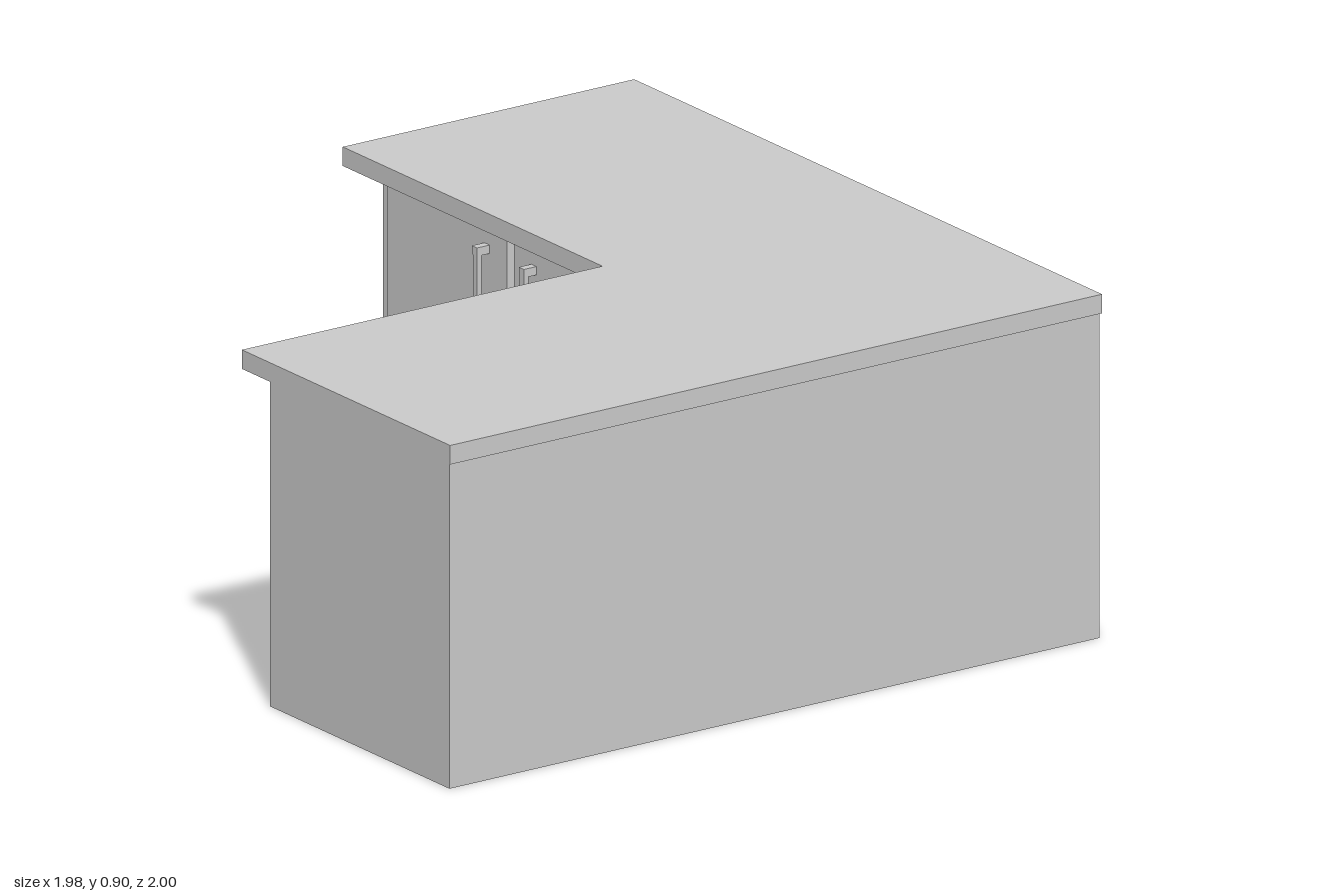
import * as THREE from 'three';

const material = new THREE.MeshStandardMaterial({ color: 0xcccccc, flatShading: true });

function box(parent, name, w, h, d, x, y, z) {
  const mesh = new THREE.Mesh(new THREE.BoxGeometry(w, h, d), material);
  mesh.name = name;
  mesh.position.set(x, y, z);
  parent.add(mesh);
  return mesh;
}

// L-shaped slab: full rectangle minus the corner at -x, -z
function lSlab(name, x0, x1, z0, z1, cutX, cutZ, y, height) {
  const outline = [[x0, z1], [x1, z1], [x1, z0], [cutX, z0], [cutX, cutZ], [x0, cutZ]];
  const shape = new THREE.Shape(outline.map(([x, z]) => new THREE.Vector2(x, -z)));
  const geometry = new THREE.ExtrudeGeometry(shape, { depth: height, bevelEnabled: false });
  geometry.rotateX(-Math.PI / 2);
  const mesh = new THREE.Mesh(geometry, material);
  mesh.name = name;
  mesh.position.y = y;
  return mesh;
}

// Vertical bar handle on two posts, facing -z
function handle(x) {
  const group = new THREE.Group();
  group.name = 'handle';
  box(group, 'handleBar', 0.018, 0.28, 0.014, 0, 0, -0.03);
  for (const s of [-1, 1]) box(group, 'handlePost', 0.022, 0.022, 0.038, 0, s * 0.129, -0.019);
  group.position.set(x, 0.63, -0.04);
  return group;
}

// Pair of doors, centred on x = 0, standing proud of the cabinet face towards -z
function doorPair(name) {
  const group = new THREE.Group();
  group.name = name;
  for (const s of [-1, 1]) {
    box(group, 'door', 0.51, 0.755, 0.04, s * 0.27, 0.4275, -0.02);
    group.add(handle(s * 0.1));
  }
  return group;
}

export function createModel() {
  const model = new THREE.Group();
  model.name = 'cornerCabinet';

  model.add(lSlab('cabinetBody', -0.99, 0.985, -1, 0.997, 0.228, 0.23, 0, 0.85));
  model.add(lSlab('countertop', -0.99, 0.99, -1, 1, 0.105, 0.11, 0.85, 0.05));

  // One pair of doors on each inner face
  const sideDoors = doorPair('sideArmDoors');
  sideDoors.position.set(-0.385, 0, 0.23);
  const backDoors = doorPair('backArmDoors');
  backDoors.position.set(0.228, 0, -0.4);
  backDoors.rotation.y = Math.PI / 2;
  model.add(sideDoors, backDoors);

  return model;
}
